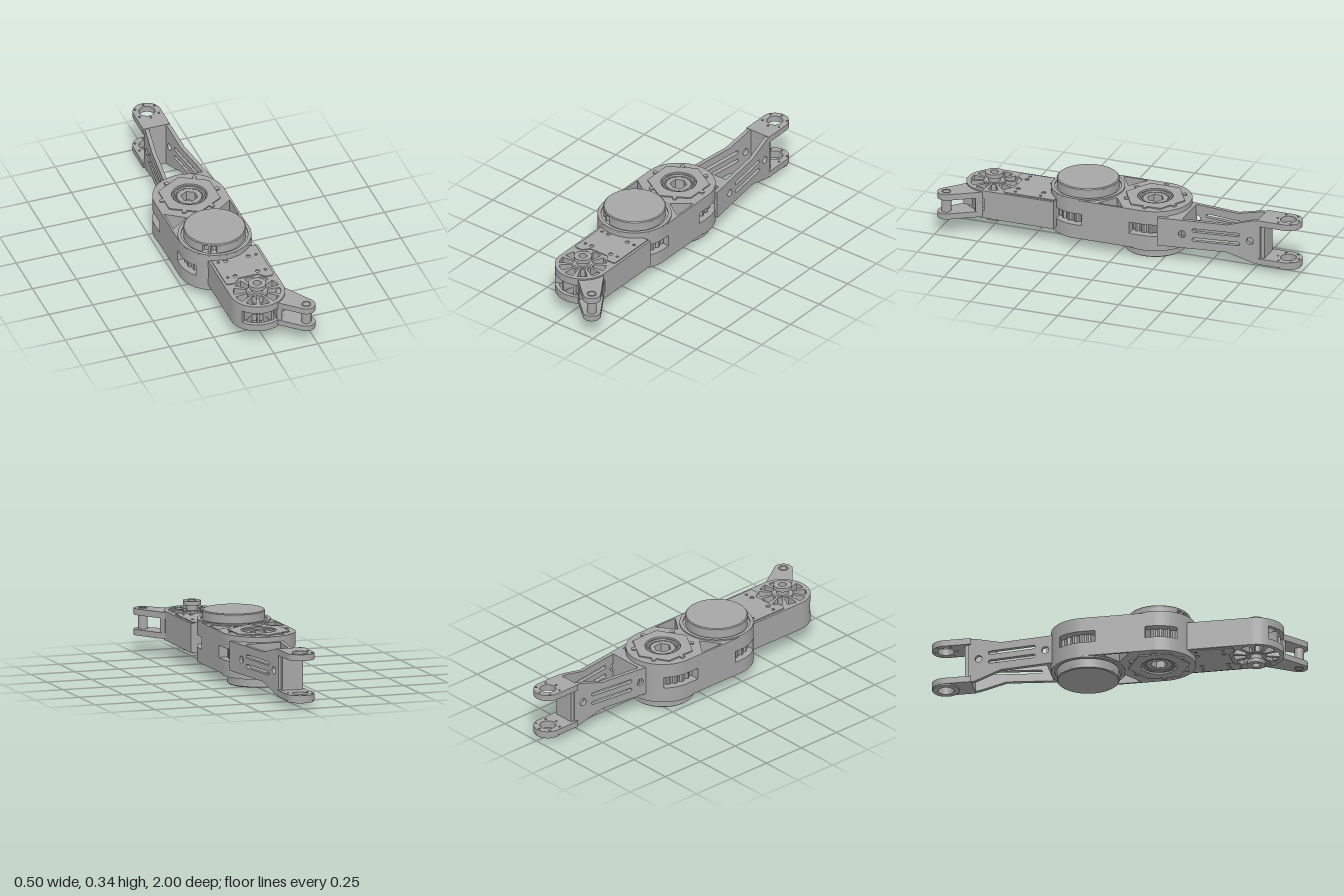
import * as THREE from 'three';
import { toCreasedNormals } from 'three/addons/utils/BufferGeometryUtils.js';

const metal = new THREE.MeshStandardMaterial({ color: 0xa6a6a6 });
metal.name = 'grey metal';
const PI = Math.PI;

function add(parent, name, geo, x = 0, y = 0, z = 0) {
  const m = new THREE.Mesh(toCreasedNormals(geo, 0.5), metal);
  m.name = name;
  m.position.set(x, y, z);
  parent.add(m);
  return m;
}

// Plan shape drawn in (x, z), raised between two heights
function slab(shape, y0, y1) {
  const g = new THREE.ExtrudeGeometry(shape, { depth: y1 - y0, bevelEnabled: false, curveSegments: 32 });
  return g.rotateX(PI / 2).translate(0, y1, 0);
}
const box = (x0, x1, y0, y1, z0, z1) =>
  new THREE.BoxGeometry(x1 - x0, y1 - y0, z1 - z0).translate((x0 + x1) / 2, (y0 + y1) / 2, (z0 + z1) / 2);
const poly = (pts) => new THREE.Shape(pts.map((p) => new THREE.Vector2(...p)));
const circle = (x, z, r) => new THREE.Shape().absarc(x, z, r, 0, PI * 2, false);
const lathe = (pts) => new THREE.LatheGeometry(pts.map((p) => new THREE.Vector2(...p)), 48);
function ngon(n, r, z = 0, turn = 0) {
  return poly(Array.from({ length: n }, (_, i) => {
    const a = (i / n) * PI * 2 + turn;
    return [r * Math.cos(a), z + r * Math.sin(a)];
  }));
}
function sector(x, z, r0, r1, a0, a1, Type = THREE.Shape) {
  const s = new Type();
  s.absarc(x, z, r1, a0, a1, false);
  s.absarc(x, z, r0, a1, a0, true);
  s.closePath();
  return s;
}
function slot(x0, x1, y, r) {
  const s = new THREE.Shape();
  s.absarc(x1, y, r, -PI / 2, PI / 2, false);
  s.absarc(x0, y, r, PI / 2, PI * 1.5, false);
  s.closePath();
  return s;
}

// Body centre line and the two drive axes
const CX = -0.055, CY = 0.1675, ZA = -0.145, ZB = 0.24, R = 0.197;
const triangles = () => [-1, 1].map((s) => poly([[s * 0.186, -0.03], [s * 0.186, 0.11], [s * 0.085, 0.042]]));

// Upper half of the body: housing layer, motor cap on one axis, bearing plate on the other
function housingHalf(capZ, hexZ) {
  const g = new THREE.Group();
  const plan = new THREE.Shape();
  plan.absarc(0, ZB, R, 0, PI, false);
  plan.absarc(0, ZA, R, PI, PI * 2, false);
  plan.closePath();
  plan.holes.push(...triangles(), circle(0, hexZ, 0.095));
  add(g, 'housing', slab(plan, 0.0325, 0.111));

  // Rim and notched motor cap
  const rim = circle(0, capZ, R);
  rim.holes.push(circle(0, capZ, 0.178));
  add(g, 'capRim', slab(rim, 0.111, 0.1185));
  const skirt = new THREE.Shape();
  const notches = [PI / 2 + 0.38, PI / 2 + 0.66];
  let a = notches[1] + 0.1 - PI * 2;
  for (const n of notches) {
    skirt.absarc(0, capZ, 0.166, a, n - 0.1, false);
    skirt.absarc(0, capZ, 0.14, n - 0.08, n + 0.08, false);
    a = n + 0.1;
  }
  skirt.closePath();
  add(g, 'capSkirt', slab(skirt, 0.111, 0.154));
  add(g, 'motorCap', lathe([[0, 0.153], [0.166, 0.153], [0.167, 0.163], [0.162, 0.1675], [0, 0.1675]]), 0, 0, capZ);

  // Hexagonal bearing plate with bolts
  const hex = ngon(6, 0.168, hexZ, PI / 6);
  hex.holes.push(circle(0, hexZ, 0.095));
  add(g, 'bearingPlate', slab(hex, 0.111, 0.1175));
  for (let i = 0; i < 6; i++) {
    const t = (i * PI) / 3;
    add(g, 'bolt', new THREE.CylinderGeometry(0.013, 0.013, 0.01, 16),
      0.157 * Math.cos(t), 0.114, hexZ + 0.157 * Math.sin(t));
  }
  // Nested bearing rings, ball cage and hexagonal socket
  add(g, 'bearingRing', lathe([[0.074, 0.05], [0.074, 0.107], [0.08, 0.112], [0.088, 0.112], [0.088, 0.05]].reverse()), 0, 0, hexZ);
  const hub = circle(0, hexZ, 0.066);
  hub.holes.push(ngon(6, 0.046, hexZ, PI / 6));
  add(g, 'hexSocket', slab(hub, 0.05, 0.105));
  for (let i = 0; i < 24; i++) {
    const t = (i * PI) / 12;
    add(g, 'bearingBall', new THREE.CylinderGeometry(0.006, 0.006, 0.05, 8),
      0.07 * Math.cos(t), 0.08, hexZ + 0.07 * Math.sin(t));
  }
  return g;
}

function body() {
  const g = new THREE.Group();
  g.name = 'body';
  g.position.set(CX, CY, 0);
  const top = housingHalf(ZB, ZA), bottom = housingHalf(ZA, ZB);
  top.name = 'upperHousing';
  bottom.name = 'lowerHousing';
  bottom.rotation.z = PI;
  g.add(top, bottom);
  // Middle layer, leaving side windows that show the gears
  const mid = poly([[-R, -0.07], [R, -0.07], [R, 0.2], [-R, 0.2]]);
  mid.holes.push(...triangles());
  add(g, 'middleWall', slab(mid, -0.0325, 0.0325));
  for (const [z, s] of [[ZA, -1], [ZB, 1]]) {
    const end = new THREE.Shape();
    const c = s * PI / 2;
    end.absarc(0, z, R, c - 0.88, c + 0.88, false);
    end.closePath();
    add(g, 'endWall', slab(end, -0.0325, 0.0325));
    const pts = [];
    for (let i = 0; i < 96; i++) {
      const r = i % 4 < 2 ? 0.168 : 0.158, t = (i / 96) * PI * 2;
      pts.push([r * Math.cos(t), z + r * Math.sin(t)]);
    }
    add(g, 'gear', slab(poly(pts), -0.028, 0.028));
  }
  return g;
}

// Front arm ending in a spoked pulley housing
const WX = -0.005, WZ = 0.757, WR = 0.149;
function frontArm() {
  const g = new THREE.Group();
  g.name = 'frontArm';
  const step = PI / 5;
  for (const [y0, y1] of [[0.09, 0.13], [0.205, 0.248]]) {
    const plan = new THREE.Shape();
    plan.moveTo(WX - WR, 0.36);
    plan.lineTo(WX + WR, 0.36);
    plan.absarc(WX, WZ, WR, 0, PI, false);
    plan.closePath();
    for (let i = 0; i < 10; i++)
      plan.holes.push(sector(WX, WZ, 0.056, 0.126, i * step + 0.1, (i + 1) * step - 0.1, THREE.Path));
    plan.holes.push(circle(WX, WZ, 0.022));
    add(g, 'armPlate', slab(plan, y0, y1));
  }
  add(g, 'armCore', box(WX - WR, WX + WR, 0.13, 0.205, 0.36, 0.628));
  for (const s of [-1, 1])
    add(g, 'armSideWall', box(WX + s * 0.138 - 0.011, WX + s * 0.138 + 0.011, 0.13, 0.205, 0.628, WZ));
  add(g, 'rimWall', slab(sector(WX, WZ, 0.126, WR, PI - 0.65, PI), 0.13, 0.205));
  for (let i = 0; i < 10; i++) {
    const m = add(g, 'spoke', new THREE.BoxGeometry(0.085, 0.075, 0.014).translate(0.088, 0, 0), WX, 0.1675, WZ);
    m.rotation.y = i * step;
  }
  // Axle with a flange above and below
  add(g, 'axle', lathe([[0.022, 0.035], [0.048, 0.035], [0.048, 0.058], [0.032, 0.058], [0.032, 0.088],
    [0.046, 0.088], [0.046, 0.25], [0.032, 0.25], [0.032, 0.278], [0.048, 0.278], [0.048, 0.3],
    [0.022, 0.3], [0.022, 0.035]]), WX, 0, WZ);
  // Screwed cover panels
  for (const [y0, y1] of [[0.085, 0.09], [0.248, 0.253]]) {
    const p = poly([[-0.14, 0.365], [0.13, 0.365], [0.13, 0.645], [0.12, 0.655], [0.08, 0.655],
      [0.05, 0.62], [-0.06, 0.62], [-0.09, 0.655], [-0.13, 0.655], [-0.14, 0.645]]);
    for (const x of [-0.112, -0.07, 0.058, 0.102])
      for (const z of [0.45, 0.595]) p.holes.push(circle(x, z, Math.abs(x) > 0.1 ? 0.008 : 0.012));
    add(g, 'coverPanel', slab(p, y0, y1));
  }
  return g;
}

// Forked lever at the front corner
function lever() {
  const g = new THREE.Group();
  g.name = 'lever';
  const fx = 0.203, fz = 0.95;
  for (const [y0, y1] of [[0.096, 0.128], [0.206, 0.24]]) {
    const s = new THREE.Shape();
    s.moveTo(0.1, 0.76);
    s.lineTo(0.143, 0.765);
    s.absarc(fx, fz, 0.048, -0.547, 2.306, false);
    s.lineTo(0.06, 0.885);
    s.closePath();
    add(g, 'leverPlate', slab(s, y0, y1));
  }
  add(g, 'leverCore', slab(poly([[0.07, 0.79], [0.143, 0.765], [0.16, 0.8], [0.1, 0.84], [0.082, 0.9], [0.06, 0.885]]), 0.128, 0.206));
  add(g, 'leverPin', new THREE.CylinderGeometry(0.026, 0.026, 0.1, 32), fx, 0.167, fz);
  for (const y of [0.096, 0.24])
    add(g, 'pinCollar', new THREE.TorusGeometry(0.022, 0.004, 8, 32).rotateX(PI / 2), fx, y, fz);
  return g;
}

// Rear frame: two slotted, tapering struts carrying a clevis
function rearFrame() {
  const g = new THREE.Group();
  g.name = 'rearFrame';
  for (const [name, s0, x0, k] of [['leftStrut', 0.23, 0.117, -0.132], ['rightStrut', 0.3, -0.13, 0.117]]) {
    const p = poly([[s0, 0.09], [0.61, 0.09], [0.755, 0.042], [0.79, 0.042], [0.79, 0.29], [0.755, 0.29], [0.61, 0.25], [s0, 0.25]]);
    p.holes.push(circle(0.365, 0.17, 0.02), circle(0.735, 0.17, 0.02),
      slot(0.43, 0.67, 0.197, 0.01), slot(0.43, 0.67, 0.145, 0.01));
    const geo = new THREE.ExtrudeGeometry(p, { depth: 0.022, bevelEnabled: false, curveSegments: 16 }).rotateY(PI / 2);
    const pos = geo.attributes.position;
    for (let i = 0; i < pos.count; i++) pos.setX(i, pos.getX(i) + x0 + k * (-pos.getZ(i) - s0));
    geo.computeVertexNormals();
    add(g, name, geo);
  }
  add(g, 'frameRoot', box(-0.11, 0.11, 0.09, 0.25, -0.36, -0.28));
  add(g, 'clevisWeb', box(-0.065, 0.052, 0.045, 0.288, -0.81, -0.775));
  const cx = -0.007, cz = -0.924;
  for (const [y0, y1] of [[0.038, 0.072], [0.259, 0.293]]) {
    const p = new THREE.Shape();
    p.moveTo(0.069, -0.775);
    p.lineTo(-0.083, -0.775);
    p.absarc(cx, cz, 0.076, PI, PI * 2, false);
    p.closePath();
    p.holes.push(circle(cx, cz, 0.043));
    for (const [x, z] of [[-0.055, 0.035], [0.055, 0.035], [-0.055, -0.035], [0.055, -0.035], [0, 0.06], [0, -0.06]])
      p.holes.push(circle(cx + x, cz + z, 0.006));
    add(g, 'clevisPlate', slab(p, y0, y1));
  }
  const boss = circle(cx, cz, 0.072);
  boss.holes.push(circle(cx, cz, 0.043));
  add(g, 'clevisBoss', slab(boss, 0.03, 0.038));
  return g;
}

export function createModel() {
  const model = new THREE.Group();
  model.name = 'roboticLeg';
  model.add(body(), frontArm(), lever(), rearFrame());
  return model;
}
